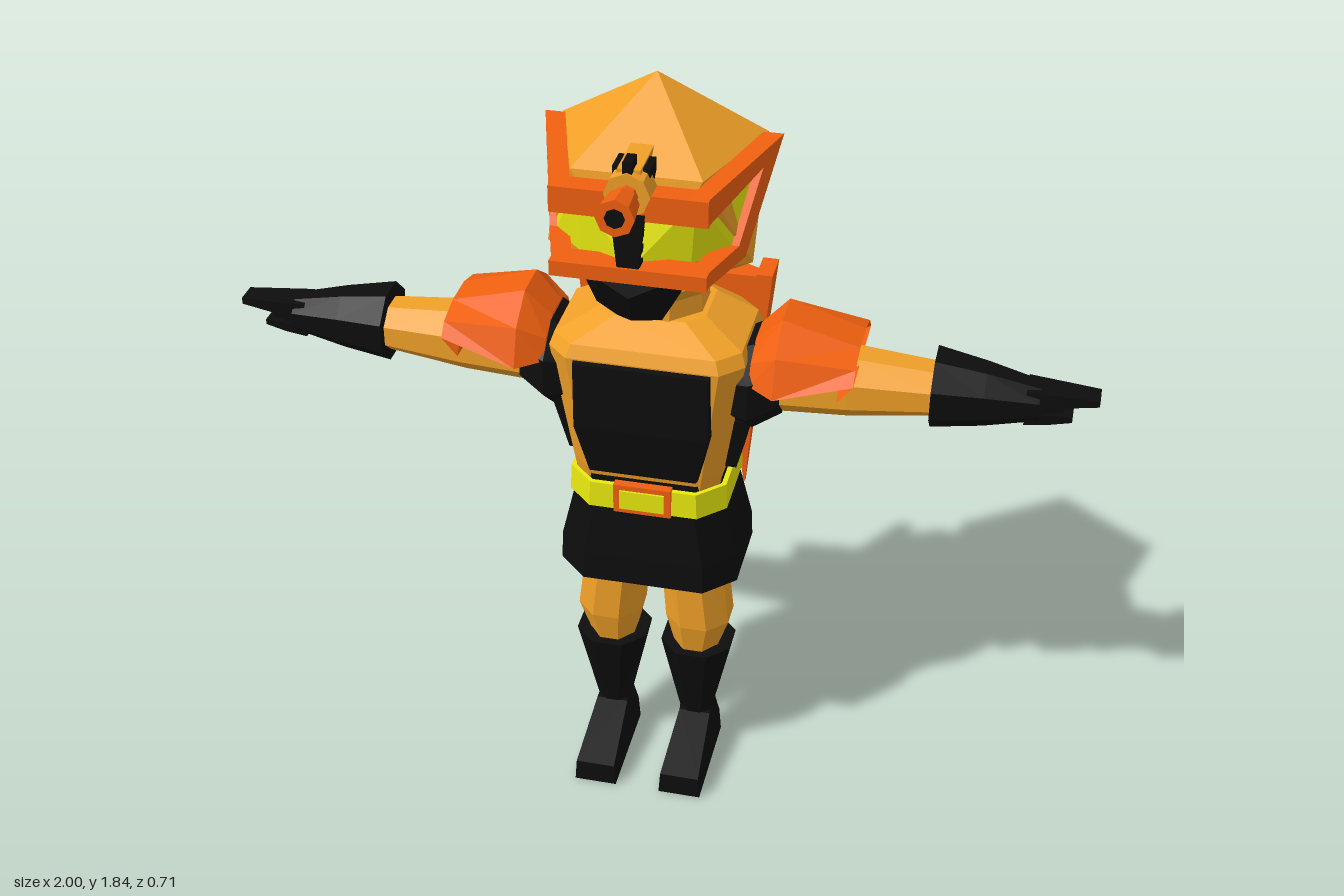
import * as THREE from 'three';
import { ConvexGeometry } from 'three/addons/geometries/ConvexGeometry.js';

const mat = (color) => new THREE.MeshStandardMaterial({ color, flatShading: true, side: THREE.DoubleSide });
const amber = mat(0xf0a028), orange = mat(0xf06010), yellow = mat(0xe8e810), black = mat(0x0d0d0d);
const V = (x, y, z) => new THREE.Vector3(x, y, z);

function add(parent, name, geometry, material) {
  const mesh = new THREE.Mesh(geometry, material);
  mesh.name = name;
  parent.add(mesh);
  return mesh;
}

function fromTriangles(tris) {
  const g = new THREE.BufferGeometry().setFromPoints(tris.flat());
  g.computeVertexNormals();
  return g;
}

// Closed skin through equal-length rings, with capped ends unless open; faces always point outward
function loft(rings, open = false) {
  let tris = [];
  const n = rings[0].length;
  for (let r = 0; r < rings.length - 1; r++) {
    for (let i = 0; i < n; i++) {
      const j = (i + 1) % n, [a, b] = [rings[r], rings[r + 1]];
      tris.push([a[i], a[j], b[j]], [a[i], b[j], b[i]]);
    }
  }
  const top = rings[rings.length - 1], bottom = rings[0];
  for (let i = 1; i < n - 1 && !open; i++) {
    tris.push([bottom[0], bottom[i + 1], bottom[i]], [top[0], top[i], top[i + 1]]);
  }
  const mid = rings.flat().reduce((s, p) => s.add(p), V(0, 0, 0)).divideScalar(n * rings.length);
  const volume = tris.reduce((s, [a, b, c]) =>
    s + a.clone().sub(mid).dot(b.clone().sub(mid).cross(c.clone().sub(mid))), 0);
  if (volume < 0) tris = tris.map(([a, b, c]) => [a, c, b]);
  return fromTriangles(tris);
}

// Ellipse rings across the y axis and across the x axis
const ringY = (y, cx, cz, rx, rz, n = 8) => Array.from({ length: n }, (_, i) => {
  const t = ((i + 0.5) / n) * Math.PI * 2, k = 1 / Math.cos(Math.PI / n);
  return V(cx + rx * k * Math.cos(t), y, cz + rz * k * Math.sin(t));
});
const ringX = (x, cy, cz, ry, rz, n = 8) => ringY(x, cy, cz, ry, rz, n).map((p) => V(p.y, p.x, p.z));

// Rectangle with cut corners at height y
const chamfer = (y, w, z0, z1, c) => [[w, z0 + c], [w, z1 - c], [w - c, z1], [c - w, z1],
  [-w, z1 - c], [-w, z0 + c], [c - w, z0], [w - c, z0]].map(([x, z]) => V(x, y, z));

function box(parent, name, material, x0, x1, y0, y1, z0, z1) {
  const m = add(parent, name, new THREE.BoxGeometry(x1 - x0, y1 - y0, z1 - z0), material);
  m.position.set((x0 + x1) / 2, (y0 + y1) / 2, (z0 + z1) / 2);
}
const both = (pts) => pts.flatMap(([x, y, z]) => (x ? [V(x, y, z), V(-x, y, z)] : [V(x, y, z)]));
const hull = (parent, name, material, pts) => add(parent, name, new ConvexGeometry(both(pts)), material);

function buildHead(g) {
  // Twenty-sided helmet standing on a corner
  const R = 0.27, pts = [V(0, 1.57 + R, -0.03), V(0, 1.57 - R, -0.03)];
  for (let i = 0; i < 10; i++) {
    const t = Math.PI + (i * Math.PI) / 5;
    pts.push(V(0.894 * R * Math.sin(t), 1.57 + (i % 2 ? -0.447 : 0.447) * R, -0.03 + 0.894 * R * Math.cos(t)));
  }
  add(g, 'helmet', new ConvexGeometry(pts), amber);
  add(g, 'neck', loft([ringY(1.22, 0, -0.06, 0.11, 0.105), ringY(1.32, 0, -0.06, 0.105, 0.1),
    ringY(1.37, 0, -0.05, 0.14, 0.14)]), amber);
  hull(g, 'visorLens', yellow, [[0.22, 1.65, 0.0], [0.13, 1.65, 0.175], [0.2, 1.5, 0.09],
    [0.12, 1.5, 0.17], [0, 1.5, 0.222], [0, 1.62, 0.19]]);
  hull(g, 'mouthGuard', black, [[0.12, 1.475, 0.19], [0.07, 1.475, 0.235], [0, 1.44, 0.245], [0.08, 1.4, 0.2],
    [0.05, 1.335, 0.14], [0, 1.37, 0.215], [0, 1.32, 0.08], [0.12, 1.45, 0.08]]);

  // Visor frame: front bars and slanting side bands
  const frame = new THREE.Group();
  frame.name = 'visorFrame';
  g.add(frame);
  box(frame, 'upperBar', orange, -0.17, 0.17, 1.625, 1.685, 0.19, 0.242);
  box(frame, 'lowerBar', orange, -0.17, 0.17, 1.48, 1.515, 0.19, 0.252);
  const side = new THREE.Shape([[0.242, 1.685], [-0.09, 1.695], [0.07, 1.475], [0.252, 1.48], [0.252, 1.515],
    [0.1, 1.515], [0.0, 1.655], [0.242, 1.625]].map(([z, y]) => new THREE.Vector2(z, y)));
  const sideGeo = new THREE.ExtrudeGeometry(side, { depth: 0.045, bevelEnabled: false });
  const p = sideGeo.attributes.position;
  for (let i = 0; i < p.count; i++) {
    const z = p.getX(i);
    p.setXYZ(i, 0.165 + 0.3 * (0.245 - z) - (0.045 - p.getZ(i)), p.getY(i), z);
  }
  // The axis swap reverses winding, so restore it
  for (let i = 0; i < p.count; i += 3) {
    const a = V().fromBufferAttribute(p, i + 1), b = V().fromBufferAttribute(p, i + 2);
    p.setXYZ(i + 1, ...b).setXYZ(i + 2, ...a);
  }
  sideGeo.computeVertexNormals();
  for (const s of [1, -1]) add(frame, 'sideBand', sideGeo, orange).scale.x = s;

  // Slatted post and the lamp above it
  hull(g, 'visorPost', black, [[0.037, 1.64, 0.235], [0.037, 1.64, 0.247], [0.022, 1.5, 0.235], [0.022, 1.5, 0.247]]);
  for (let i = 0; i < 5; i++) box(g, 'postSlat', black, -0.025, 0.025, 1.51 + i * 0.03, 1.525 + i * 0.03, 0.17, 0.24);
  const tube = (name, material, r0, r1, z0, z1, n = 8) => {
    const m = add(g, name, new THREE.CylinderGeometry(r1, r0, z1 - z0, n), material);
    m.rotation.x = Math.PI / 2;
    m.position.set(0, 1.685, (z0 + z1) / 2);
  };
  box(g, 'lampMount', amber, -0.025, 0.025, 1.67, 1.735, 0.09, 0.23);
  box(g, 'lampGrip', black, -0.04, 0.04, 1.69, 1.73, 0.15, 0.21);
  box(g, 'lampSight', black, -0.01, 0.01, 1.72, 1.757, 0.2, 0.245);
  tube('lampBody', amber, 0.05, 0.05, 0.19, 0.25);
  tube('lampNeck', orange, 0.025, 0.025, 0.25, 0.29);
  tube('lampNozzle', orange, 0.035, 0.042, 0.28, 0.352);
  tube('lampBore', black, 0.022, 0.022, 0.34, 0.354);
}

function buildBody(g) {
  add(g, 'torso', loft([chamfer(0.82, 0.165, -0.16, 0.09, 0.04), chamfer(0.9, 0.175, -0.17, 0.105, 0.04),
    chamfer(1.2, 0.225, -0.19, 0.128, 0.05), chamfer(1.23, 0.215, -0.18, 0.115, 0.05),
    chamfer(1.275, 0.12, -0.16, 0.04, 0.04)]), amber);
  hull(g, 'chestPanel', black, [[0.16, 1.2, 0.1], [0.155, 1.195, 0.142], [0.155, 1.03, 0.142], [0.125, 0.9, 0.12],
    [0.16, 1.03, 0.09], [0.13, 0.89, 0.08]]);
  add(g, 'skirt', loft([chamfer(0.59, 0.215, -0.21, 0.125, 0.07), chamfer(0.66, 0.213, -0.205, 0.122, 0.07),
    chamfer(0.8, 0.18, -0.185, 0.11, 0.06), chamfer(0.88, 0.172, -0.175, 0.105, 0.05)], true), black);
  add(g, 'belt', loft([chamfer(0.8, 0.188, -0.19, 0.12, 0.06), chamfer(0.865, 0.185, -0.185, 0.118, 0.06)]), yellow);
  box(g, 'buckleFrame', orange, -0.068, 0.068, 0.797, 0.872, 0.1, 0.127);
  box(g, 'buckleCentre', yellow, -0.053, 0.053, 0.81, 0.859, 0.1, 0.132);
}

function buildBackpack(g) {
  const shieldRing = (y, w, d) => [[-w, -0.2], [w, -0.2], [w, -0.225], [w * 0.5, -d], [-w * 0.5, -d], [-w, -0.225]]
    .map(([x, z]) => V(x, y, z));
  add(g, 'backShield', loft([shieldRing(0.87, 0.19, -(-0.245)), shieldRing(1.275, 0.23, 0.28)]
    .map((r) => r)), orange);
  for (const s of [1, -1]) {
    const fin = (y, x0, x1, d) => [V(s * x0, y, -0.2), V(s * x1, y, -0.2), V(s * x1, y, -d), V(s * x0, y, -d)];
    add(g, 'shieldFin', loft([fin(0.7, 0.178, 0.182, 0.212), fin(0.88, 0.155, 0.195, 0.245),
      fin(1.28, 0.195, 0.233, 0.285)]), orange);
  }

  // Faceted pod: columns across, rows down, with yellow windows set on each facet
  const xs = [-0.16, -0.1, 0, 0.1, 0.16], bulge = [0.15, 0.82, 1, 0.82, 0.15];
  const rows = [[1.225, 0, 1], [1.215, 0.025, 1], [1.12, 0.095, 1], [1.0, 0.1, 0.96], [0.88, 0.07, 0.86], [0.875, 0, 0.85]];
  const P = (c, r) => V(xs[c] * rows[r][2], rows[r][0], -0.25 - rows[r][1] * bulge[c]);
  const tris = [], panes = [];
  const quad = (list, [a, b, c, d]) => list.push([a, b, c], [a, c, d]);
  for (let r = 0; r < rows.length - 1; r++) {
    for (let c = 0; c < 4; c++) {
      const corners = [P(c, r), P(c + 1, r), P(c + 1, r + 1), P(c, r + 1)];
      quad(tris, corners);
      if (r === 0 || r === 4) continue;
      const mid = corners.reduce((s, p) => s.add(p), V(0, 0, 0)).divideScalar(4);
      const out = corners[2].clone().sub(corners[0]).cross(corners[3].clone().sub(corners[1]))
        .normalize().multiplyScalar(0.006);
      if (out.z > 0) out.negate();
      quad(panes, corners.map((p) => p.clone().lerp(mid, 0.2).add(out)));
    }
  }
  add(g, 'backPod', fromTriangles(tris), black);
  add(g, 'podWindows', fromTriangles(panes), yellow);
}

// Left limbs; the right side mirrors them
function buildLimbs(g) {
  const z = -0.03;
  add(g, 'shoulderJoint', loft([ringX(0.17, 1.11, z, 0.09, 0.1), ringX(0.235, 1.12, z, 0.11, 0.13),
    ringX(0.3, 1.14, z, 0.09, 0.1)]), black);
  hull1(g, 'sidePanel', black, [[0.15, 1.03, 0.045], [0.232, 1.03, 0.04], [0.15, 1.03, -0.105], [0.232, 1.03, -0.1],
    [0.15, 0.89, 0.02], [0.2, 0.89, 0.02], [0.15, 0.89, -0.085], [0.2, 0.89, -0.085]]);
  const arch = (x, y, ry, rz) => Array.from({ length: 6 }, (_, i) => {
    const t = (i / 5) * Math.PI;
    return V(x, y + ry * Math.sin(t), z + rz * Math.cos(t));
  });
  add(g, 'shoulderPad', loft([arch(0.235, 1.16, 0.08, 0.12), arch(0.295, 1.155, 0.15, 0.16),
    arch(0.47, 1.2, 0.05, 0.138), arch(0.435, 1.155, 0.05, 0.135)]), orange);
  add(g, 'arm', loft([ringX(0.26, 1.13, z, 0.08, 0.085), ringX(0.45, 1.135, z, 0.075, 0.08),
    ringX(0.65, 1.14, z, 0.055, 0.065)]), amber);
  add(g, 'glove', loft([ringX(0.635, 1.145, z, 0.085, 0.09), ringX(0.75, 1.142, z, 0.068, 0.068),
    ringX(0.87, 1.14, z, 0.042, 0.045)]), black);
  const finger = (x, y, r, len) => add(g, 'finger', loft([ringX(0.84, y, z, r, 0.038, 4),
    ringX(0.84 + len * 0.5, y, z, r * 0.75, 0.033, 4), ringX(x, y + 0.003, z, r * 0.4, 0.026, 4)]), black);
  finger(1.0, 1.162, 0.02, 0.16);
  finger(0.925, 1.138, 0.016, 0.085);
  finger(0.945, 1.112, 0.016, 0.105);

  add(g, 'thigh', loft([ringY(0.32, 0.105, -0.028, 0.05, 0.062), ringY(0.42, 0.11, -0.025, 0.078, 0.08),
    ringY(0.62, 0.09, -0.03, 0.074, 0.085)]), amber);
  add(g, 'boot', loft([ringY(0.04, 0.107, -0.03, 0.05, 0.048), ringY(0.12, 0.106, -0.025, 0.04, 0.037),
    ringY(0.34, 0.107, -0.028, 0.087, 0.088)]), black);
  const sole = (k, y0) => [[0.055, 0.19], [0.159, 0.19], [0.159, -0.08], [0.055, -0.08]]
    .map(([x, zz]) => V(0.107 + (x - 0.107) * k, y0, zz));
  const foot = [...sole(1, 0), ...sole(0.92, 0.058).slice(0, 2), V(0.06, 0.06, -0.08), V(0.154, 0.06, -0.08),
    V(0.068, 0.12, 0.01), V(0.146, 0.12, 0.01), V(0.068, 0.12, -0.06), V(0.146, 0.12, -0.06), V(0.06, 0.06, 0.1), V(0.154, 0.06, 0.1)];
  add(g, 'foot', new ConvexGeometry(foot), black);
}
const hull1 = (parent, name, material, pts) =>
  add(parent, name, new ConvexGeometry(pts.map((p) => V(...p))), material);

export function createModel() {
  const model = new THREE.Group();
  model.name = 'helmetedFigure';
  const parts = { head: buildHead, body: buildBody, backpack: buildBackpack, leftLimbs: buildLimbs, rightLimbs: buildLimbs };
  for (const [name, build] of Object.entries(parts)) {
    const g = new THREE.Group();
    g.name = name;
    build(g);
    model.add(g);
    if (name === 'rightLimbs') g.scale.x = -1;
  }
  return model;
}
